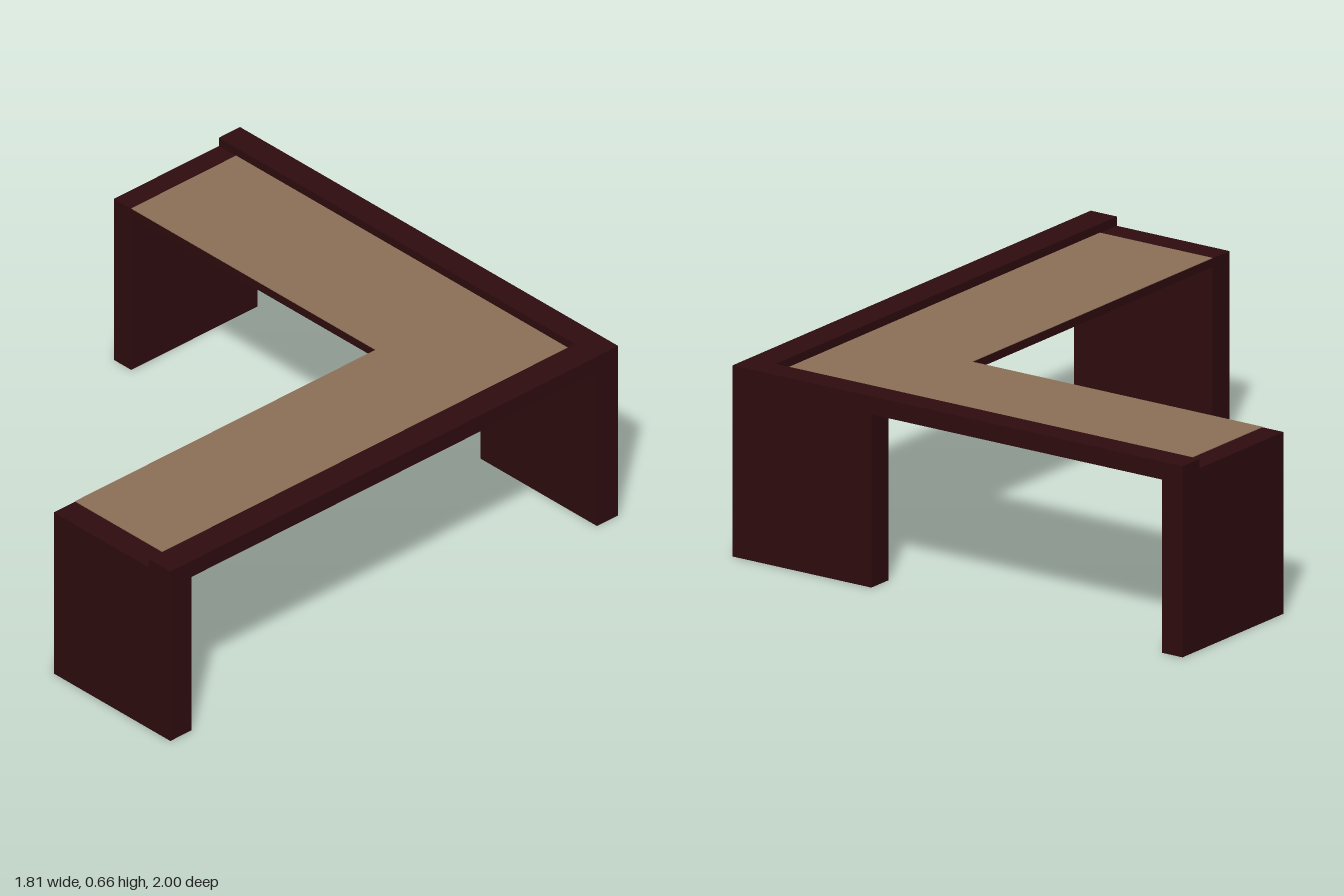
import * as THREE from 'three';

export function createModel() {
  const desk = new THREE.Group();
  desk.name = 'cornerDesk';
  const darkWood = new THREE.MeshStandardMaterial({ color: 0x2e0c0e });
  darkWood.name = 'darkWood';
  const tanSurface = new THREE.MeshStandardMaterial({ color: 0x8b6e57 });
  tanSurface.name = 'tanSurface';

  // Main dimensions
  const X = 0.905, Z = 1, under = 0.595, deck = 0.625, top = 0.657;
  const railX = 0.8, railZ = -0.905; // inner faces of the raised rails
  const innerX = 0.347, innerZ = -0.437; // inside corner of the L

  // Box given by its two extreme corners
  function box(name, x0, x1, y0, y1, z0, z1) {
    const mesh = new THREE.Mesh(new THREE.BoxGeometry(x1 - x0, y1 - y0, z1 - z0), darkWood);
    mesh.position.set((x0 + x1) / 2, (y0 + y1) / 2, (z0 + z1) / 2);
    mesh.name = name;
    desk.add(mesh);
  }

  // Flat L-shaped slab, outer corner at the back left
  function slab(name, x0, z1, y0, y1, material) {
    const outline = [[x0, railZ], [railX, railZ], [railX, z1], [innerX, z1], [innerX, innerZ], [x0, innerZ]];
    const shape = new THREE.Shape(outline.map(([x, z]) => new THREE.Vector2(x, -z)));
    const geometry = new THREE.ExtrudeGeometry(shape, { depth: y1 - y0, bevelEnabled: false });
    geometry.rotateX(-Math.PI / 2);
    geometry.translate(0, y0, 0);
    const mesh = new THREE.Mesh(geometry, material);
    mesh.name = name;
    desk.add(mesh);
  }

  // Desktop with its writing surface
  slab('desktop', -X, Z, under, deck, darkWood);
  slab('writingSurface', -0.822, 0.905, deck, deck + 0.002, tanSurface);

  // Raised rails along the two outer edges
  box('backRail', -X, X, under, top, -Z, railZ);
  box('sideRail', railX, X, under, top, railZ, Z);

  // Panel legs
  box('rightLeg', -X, -0.822, 0, under, -Z, innerZ);
  box('cornerLeg', innerX, X, 0, under, -Z, railZ);
  box('frontLeg', innerX, X, 0, under, 0.905, Z);

  return desk;
}
